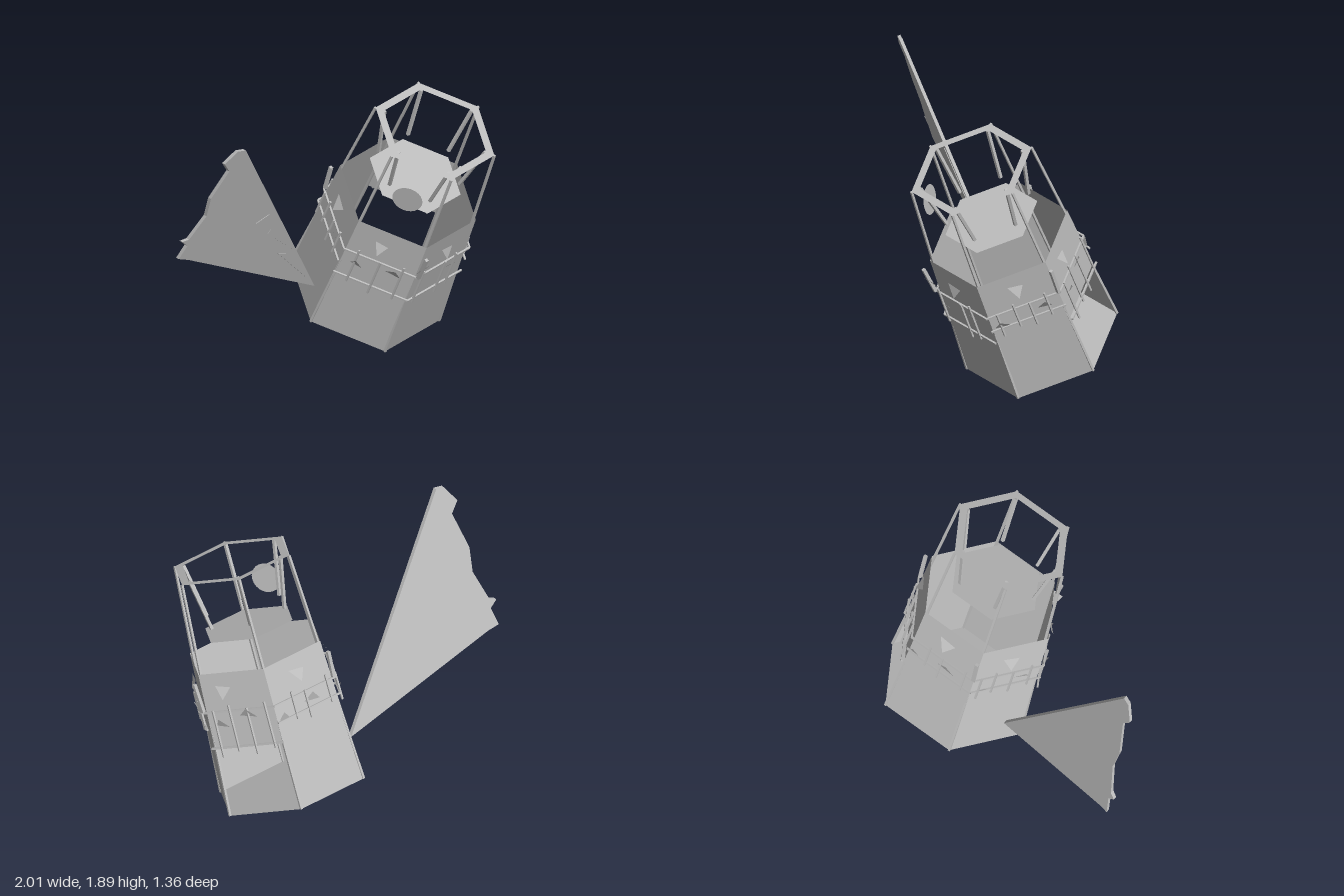
import * as THREE from 'three';

const BASE = 0, SHOULDER = 0.97, TOP = 1.574;
const steel = new THREE.MeshStandardMaterial({ color: 0xbdbdbd, side: THREE.DoubleSide });
steel.name = 'grey steel';

// Radius of the hexagonal tower at height s
const radius = (s) => s <= SHOULDER
  ? 0.515 - 0.045 * s / SHOULDER
  : 0.47 - 0.058 * (s - SHOULDER) / (TOP - SHOULDER);

// Hexagon corner i (0 = left, 2 = front right ...) at height s
function corner(i, s, r = radius(s)) {
  const a = i * Math.PI / 3;
  return new THREE.Vector3(r * Math.cos(a), s, r * Math.sin(a));
}
// Point on side i: u runs 0..1 along the side, out is the distance in front of it
function onSide(i, u, s, out = 0) {
  const r = radius(s) + out / Math.cos(Math.PI / 6);
  return corner(i, s, r).lerp(corner(i + 1, s, r), u);
}

function add(parent, geometry, name) {
  const m = new THREE.Mesh(geometry, steel);
  m.name = name;
  parent.add(m);
  return m;
}

// Flat sheet from a convex loop of points
function sheet(parent, pts, name) {
  const pos = [];
  for (let i = 1; i < pts.length - 1; i++) {
    for (const p of [pts[0], pts[i + 1], pts[i]]) pos.push(p.x, p.y, p.z);
  }
  const g = new THREE.BufferGeometry();
  g.setAttribute('position', new THREE.Float32BufferAttribute(pos, 3));
  g.computeVertexNormals();
  return add(parent, g, name);
}

// Square bar between two points
function bar(parent, a, b, w, name) {
  const m = add(parent, new THREE.BoxGeometry(w, w, a.distanceTo(b)), name);
  m.position.copy(a).lerp(b, 0.5);
  m.quaternion.setFromUnitVectors(new THREE.Vector3(0, 0, 1), b.clone().sub(a).normalize());
  return m;
}

function seeded(seed) {
  return () => (seed = (seed * 16807) % 2147483647) / 2147483647;
}

function buildTower() {
  const tower = new THREE.Group();
  tower.name = 'tower';
  const hex = [0, 1, 2, 3, 4, 5];

  // Floor and walls; the lower part of the back left wall is open
  sheet(tower, hex.map((i) => corner(i, BASE)), 'floor');
  for (const i of hex) {
    const low = i === 5 ? 0.47 : BASE;
    sheet(tower, [corner(i, low), corner(i + 1, low), corner(i + 1, SHOULDER), corner(i, SHOULDER)], 'wall');
  }

  // Corner posts, top ring and hanging rods
  for (const i of hex) {
    bar(tower, corner(i, BASE), corner(i, TOP), 0.015, 'cornerPost');
    sheet(tower, [corner(i, TOP), corner(i + 1, TOP), corner(i + 1, TOP, 0.355), corner(i, TOP, 0.355)], 'topRing');
    bar(tower, corner(i, TOP, 0.35), corner(i, 1.215, 0.28), 0.02, 'hangingRod');
  }

  // Platform floating inside the cage
  sheet(tower, hex.map((i) => corner(i, 1.13, 0.315)), 'platform');

  // Round dish on the front right side of the cage
  const dish = add(tower, new THREE.CircleGeometry(0.1, 24), 'dish');
  dish.position.set(-0.335, 1.29, 0.19);
  dish.rotation.y = -Math.PI / 3;

  // Railings: two rails and a few uprights on each side
  const lowRail = [0.6, 0.5, 0.5, 0.6, 0.6, 0.47];
  const uprights = [
    [0.2, 0.42, 0.62, 0.85], [0.3, 0.48, 0.9], [0.2, 0.5, 0.8],
    [0.2, 0.45, 0.7, 0.9], [0.15, 0.5, 0.7], [0.12, 0.38, 0.62, 0.85],
  ];
  for (const i of hex) {
    for (const s of [0.715, lowRail[i]]) {
      bar(tower, onSide(i, 0, s, 0.02), onSide(i, 1, s, 0.02), 0.012, 'rail');
    }
    uprights[i].forEach((u, k) => {
      const drop = 0.03 * (k % 2);
      bar(tower, onSide(i, u, lowRail[i] - 0.03 - drop, 0.025),
        onSide(i, u, 0.76 - drop, 0.03), 0.012, 'railUpright');
    });
  }
  bar(tower, onSide(1, 0.98, 0.72, 0.03), onSide(1, 1, 0.92, 0.05), 0.022, 'brokenPost');
  bar(tower, onSide(0, 0.02, 0.72, 0.02), onSide(0, 0.02, 0.92, 0.04), 0.022, 'brokenPost');
  bar(tower, onSide(4, 0.02, 0.72, 0.02), onSide(4, 0.05, 0.9, 0.05), 0.022, 'brokenPost');

  // Bent plate at the front right corner
  sheet(tower, [onSide(1, 0.9, 0.76, 0.02), onSide(1, 1.05, 0.76, 0.02),
    onSide(1, 1.06, 0.83, 0.05), onSide(1, 0.88, 0.83, 0.05)], 'bentPlate');

  // Small triangular splinters around the railing
  const rnd = seeded(11);
  for (const i of hex) {
    for (let k = 0; k < 3; k++) {
      const u = 0.15 + 0.25 * k + 0.15 * rnd(), s = [0.62, 0.84, 0.58][k] + 0.04 * rnd();
      const w = 0.08 + 0.05 * rnd(), d = k === 1 ? -0.07 : 0.07;
      sheet(tower, [onSide(i, u, s, 0.015), onSide(i, u + w * 2, s + 0.02, 0.02),
        onSide(i, u + w, s + d, 0.05)], 'splinter');
    }
  }

  tower.position.set(0.475, 0.18, -0.258);
  tower.rotation.set(0.391, 0, -0.009);
  return tower;
}

// Large torn panel with a jagged outer edge
function buildTornPanel() {
  const panel = new THREE.Group();
  panel.name = 'tornPanel';
  const slab = (outline, depth, lift, name) => {
    const shape = new THREE.Shape(outline.map(([x, y]) => new THREE.Vector2(x, y)));
    const g = new THREE.ExtrudeGeometry(shape, { depth, bevelEnabled: false });
    const p = g.attributes.position;
    for (let i = 0; i < p.count; i++) {
      p.setZ(i, p.getZ(i) + lift - 0.472 + 0.448 * p.getX(i) + 0.368 * p.getY(i));
    }
    g.computeVertexNormals();
    add(panel, g, name);
  };
  slab([[0.04, 0.4], [-0.8, 1.89], [-0.85, 1.895], [-0.91, 1.8], [-0.86, 1.72], [-0.915, 1.49],
    [-0.9, 1.33], [-0.96, 1.14], [-1, 1.13], [-0.955, 1.08], [-0.98, 0.97], [-0.91, 0.94]],
  0.025, -0.015, 'panelSheet');
  slab([[-0.47, 1.21], [-0.54, 1.15], [-0.42, 1.06], [-0.43, 1.02], [-0.2, 0.8]], 0.005, 0.012, 'panelSplinter');
  slab([[-0.31, 0.81], [-0.2, 0.77], [-0.04, 0.5]], 0.005, 0.012, 'panelSplinter');
  return panel;
}

export function createModel() {
  const model = new THREE.Group();
  model.name = 'ruinedTower';
  model.add(buildTower(), buildTornPanel());
  return model;
}
